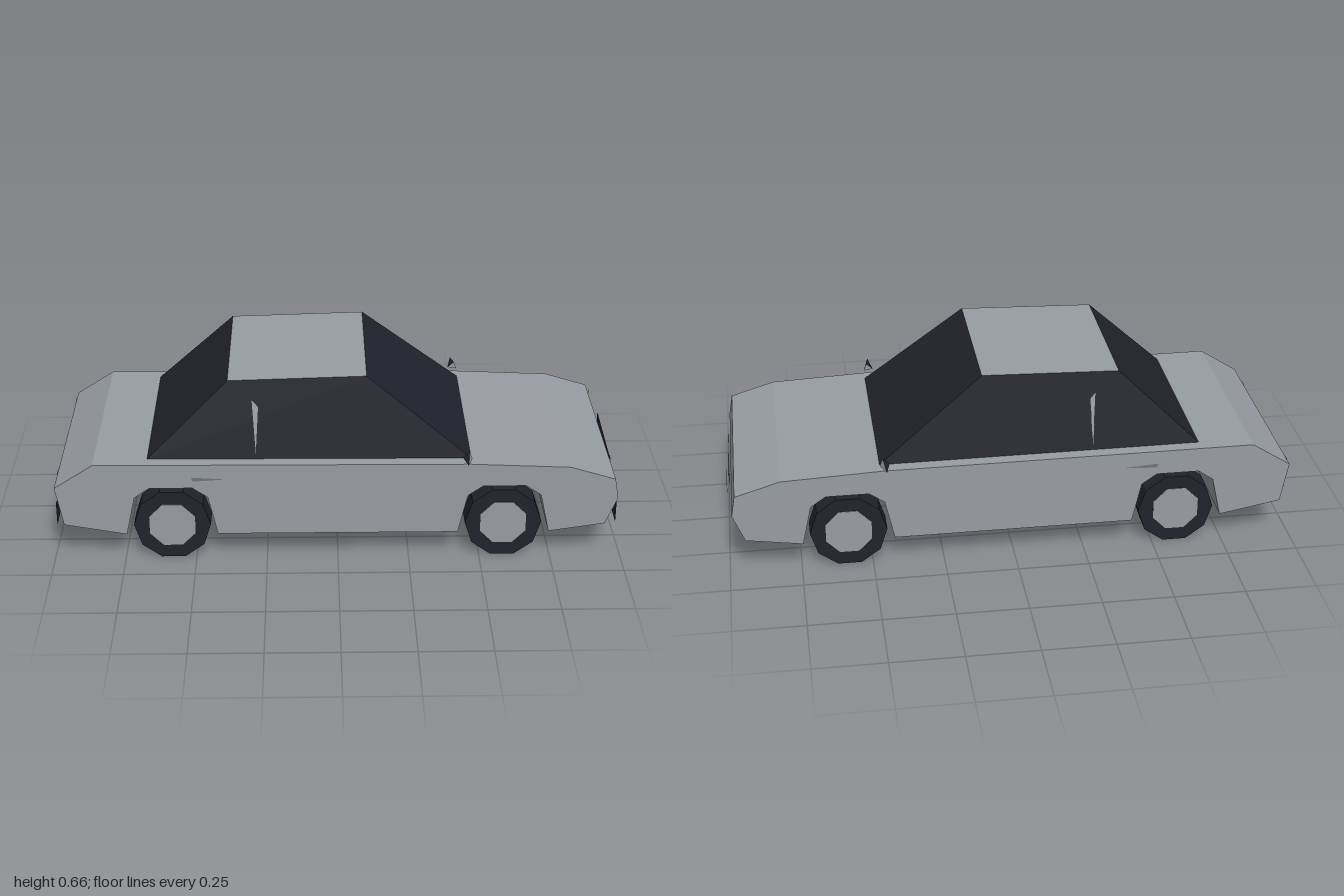
import * as THREE from 'three';

const mat = (name, color) => new THREE.MeshStandardMaterial({ name, color, flatShading: true, side: THREE.DoubleSide });

// Flat-faced geometry from convex polygons, each a list of [x, y, z] corners
function facets(polys) {
  const pos = [];
  for (const p of polys)
    for (let i = 1; i < p.length - 1; i++) pos.push(...p[0], ...p[i], ...p[i + 1]);
  const g = new THREE.BufferGeometry();
  g.setAttribute('position', new THREE.Float32BufferAttribute(pos, 3));
  g.computeVertexNormals();
  return g;
}

export function createModel() {
  const car = new THREE.Group();
  car.name = 'car';
  const paint = mat('silverPaint', 0x989da3);
  const dark = mat('darkGlassAndRubber', 0x22222d);
  const trim = mat('greyTrim', 0x71757b);
  const lamp = mat('creamLamp', 0xd2cbb0);

  const add = (name, geo, material, parent = car) => {
    const m = new THREE.Mesh(geo, material);
    m.name = name;
    parent.add(m);
    return m;
  };

  // Body: side profile with two wheel arches, extruded across the width
  const W = 0.388, axle = 0.582;
  const arch = (cx) => [[0.16, 0.105], [0.128, 0.25], [0.075, 0.287], [-0.075, 0.287], [-0.128, 0.25], [-0.16, 0.105]]
    .map(([x, y]) => [cx + x, y]);
  const profile = [
    [-0.987, 0.29], [-0.85, 0.378], [0.46, 0.373], [0.81, 0.358], [0.968, 0.31], [0.981, 0.235], [0.94, 0.135],
    ...arch(axle), ...arch(-axle), [-0.96, 0.145],
  ];
  const shape = new THREE.Shape(profile.map(([x, y]) => new THREE.Vector2(x, y)));
  const bodyGeo = new THREE.ExtrudeGeometry(shape, { depth: W * 2, bevelEnabled: false });
  bodyGeo.translate(0, 0, -W);
  add('body', bodyGeo, paint);

  // Cabin: tapered glass sides under a painted roof
  const base = [[-0.665, 0.376], [0.465, 0.373]], top = [[-0.38, 0.65], [0.1, 0.664]];
  const zb = 0.341, zt = 0.285;
  const ring = ([a, b], z) => [[...a, z], [...b, z], [...b, -z], [...a, -z]];
  const low = ring(base, zb), high = ring(top, zt);
  add('windows', facets(low.map((p, i) => {
    const j = (i + 1) % 4;
    return [p, low[j], high[j], high[i]];
  })), dark);
  add('roof', facets([high]), paint);

  // Side details, mirrored left and right
  for (const s of [1, -1]) {
    const side = s > 0 ? 'Near' : 'Far';
    const pillar = [[-0.297, 0.585], [-0.285, 0.395], [-0.275, 0.56]]
      .map(([x, y]) => [x, y, s * (zb + 0.004 - (y - 0.375) * 0.195)]);
    add('doorPillar' + side, facets([s > 0 ? pillar : pillar.reverse()]), paint);

    const handle = [[-0.51, 0.33, s * 0.391], [-0.505, 0.314, s * 0.391], [-0.39, 0.322, s * 0.391]];
    add('doorHandle' + side, facets([s > 0 ? handle : handle.reverse()]), trim);

    // Mirror: slim pointed shell with a dark rear face
    const tip = [0.447, 0.401, s * 0.452];
    const a = [0.432, 0.394, s * 0.376], b = [0.466, 0.388, s * 0.376], c = [0.456, 0.415, s * 0.376];
    const order = (...p) => (s > 0 ? p : p.reverse());
    add('mirrorShell' + side, facets([order(b, c, tip), order(a, c, b)]), paint);
    add('mirrorGlass' + side, facets([order(a, b, tip), order(c, a, tip)]), dark);
  }

  // Wheels: ten-sided tyres with eight-sided hubs
  for (const x of [axle, -axle])
    for (const z of [0.334, -0.334]) {
      const wheel = new THREE.Group();
      wheel.name = 'wheel';
      wheel.position.set(x, 0.136, z);
      const tyre = add('tyre', new THREE.CylinderGeometry(0.135, 0.135, 0.086, 10), dark, wheel);
      tyre.rotation.set(Math.PI / 2, Math.PI / 10, 0);
      const hub = add('hub', new THREE.CylinderGeometry(0.087, 0.087, 0.09, 8), paint, wheel);
      hub.rotation.set(Math.PI / 2, Math.PI / 8, 0);
      car.add(wheel);
    }

  // Wedge plates on the nose and tail: base edge at z0 from y0 to y1, point at z1, y2
  const wedge = (name, x, [z0, y0, y1], [z1, y2], material) => {
    const p = [[x, y0, z0], [x, y1, z0], [x, y2, z1]];
    const flip = (z1 < z0) === (x > 0);
    add(name, facets([flip ? p.reverse() : p]), material);
  };
  wedge('frontGrille', 0.986, [-0.178, 0.235, 0.295], [0.18, 0.266], dark);
  wedge('frontBumper', 0.978, [0.38, 0.135, 0.225], [-0.375, 0.18], dark);
  wedge('frontPlate', 0.998, [-0.108, 0.165, 0.21], [0.105, 0.19], lamp);
  wedge('frontLampNear', 0.972, [0.21, 0.308, 0.317], [0.245, 0.31], dark);
  wedge('frontLampFar', 0.972, [-0.332, 0.308, 0.317], [-0.3, 0.31], lamp);
  wedge('rearBumper', -0.985, [0.38, 0.14, 0.225], [-0.375, 0.18], dark);
  wedge('rearPlate', -1, [0.108, 0.185, 0.235], [-0.105, 0.21], lamp);
  wedge('rearLampNear', -0.989, [0.28, 0.275, 0.292], [0.21, 0.283], lamp);
  wedge('rearLampFar', -0.989, [-0.35, 0.275, 0.292], [-0.29, 0.283], lamp);

  return car;
}
